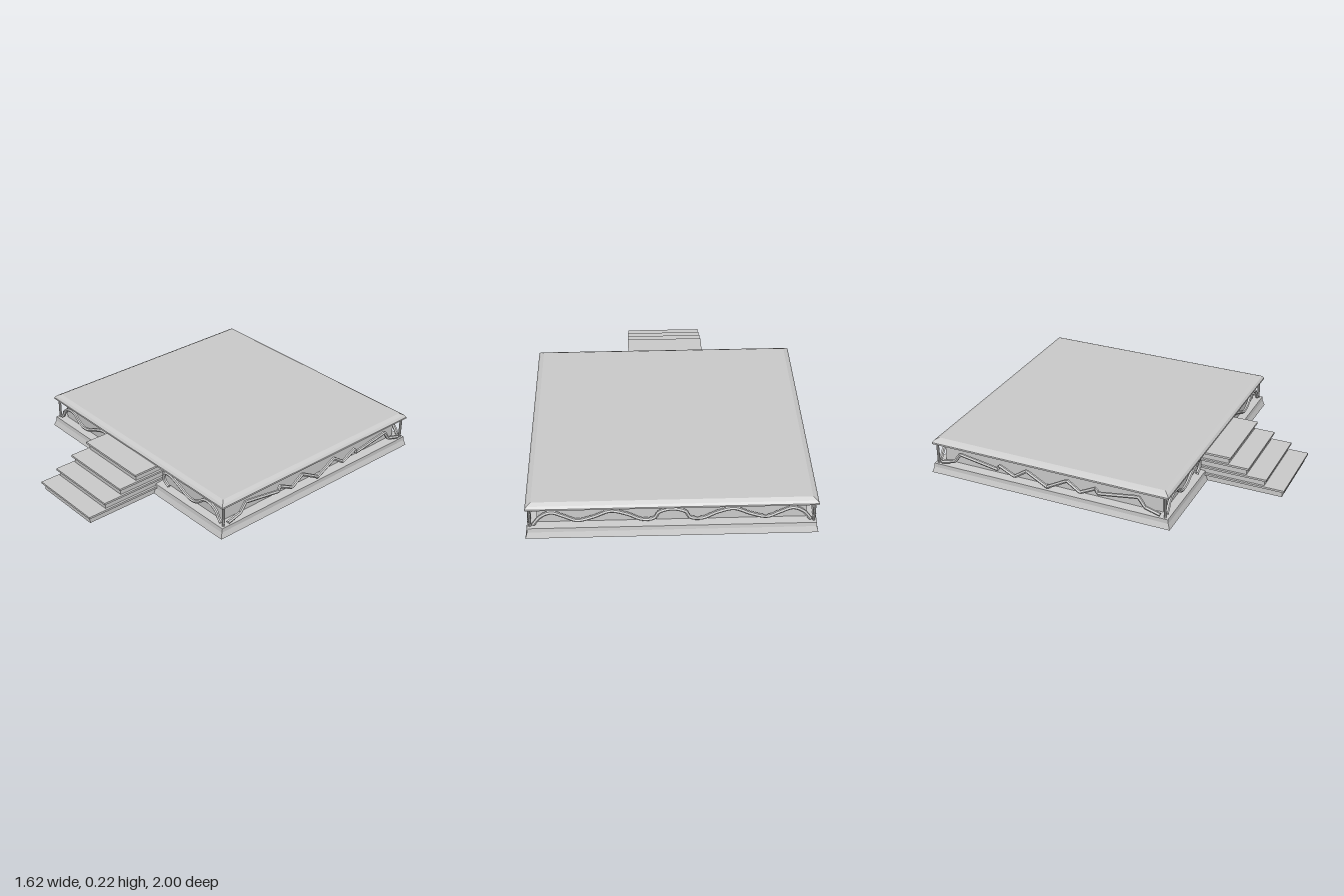
import * as THREE from 'three';

const CZ = -0.235; // centre of the platform in z
const material = new THREE.MeshStandardMaterial({ color: 0xcccccc, side: THREE.DoubleSide, flatShading: true });

function addMesh(parent, name, geometry, x = 0, y = 0, z = 0) {
  const mesh = new THREE.Mesh(geometry, material);
  mesh.name = name;
  mesh.position.set(x, y, z);
  parent.add(mesh);
  return mesh;
}

// Rectangular shell lofted through [half width, half depth, height] rings
function ringShell(rings, cap) {
  const pos = [];
  const corners = rings.map(([w, d, y]) => [[w, y, d], [w, y, -d], [-w, y, -d], [-w, y, d]]);
  const quad = (a, b, c, d) => pos.push(...a, ...b, ...c, ...a, ...c, ...d);
  for (let i = 0; i + 1 < corners.length; i++) {
    for (let k = 0; k < 4; k++) {
      const n = (k + 1) % 4;
      quad(corners[i][k], corners[i][n], corners[i + 1][n], corners[i + 1][k]);
    }
  }
  if (cap) quad(...corners[corners.length - 1]);
  const g = new THREE.BufferGeometry();
  g.setAttribute('position', new THREE.Float32BufferAttribute(pos, 3));
  g.computeVertexNormals();
  return g;
}

// Thin ornamental rail following [along, height] points
function railGeometry(points, tension, segments) {
  const pts = points.map(([u, y]) => new THREE.Vector3(u, y, 0));
  const curve = new THREE.CatmullRomCurve3(pts, false, 'catmullrom', tension);
  return new THREE.TubeGeometry(curve, segments, 0.011, 6, false);
}

const mirrored = (half) => [...half, ...half.slice(0, -1).reverse().map(([u, y]) => [-u, y])];

export function createModel() {
  const model = new THREE.Group();
  model.name = 'steppedPlatform';

  const platform = new THREE.Group();
  platform.name = 'platform';
  platform.position.z = CZ;
  model.add(platform);

  // Flared plinth, hollow below, with a ledge running in to the wall
  addMesh(platform, 'plinth', ringShell([
    [0.81, 0.765, 0], [0.80, 0.753, 0.035], [0.80, 0.75, 0.06], [0.745, 0.70, 0.065],
  ], false));
  // Recessed wall, closed by a ceiling
  addMesh(platform, 'wall', ringShell([[0.745, 0.70, 0.065], [0.745, 0.70, 0.183]], true));
  // Deck slab with a bevelled rim
  addMesh(platform, 'deck', ringShell([
    [0.745, 0.70, 0.183], [0.79, 0.742, 0.183], [0.79, 0.742, 0.19], [0.803, 0.753, 0.19],
    [0.803, 0.753, 0.20], [0.793, 0.743, 0.214], [0.77, 0.72, 0.225],
  ], true));

  // Corner posts
  for (const sx of [-1, 1]) {
    for (const sz of [-1, 1]) {
      addMesh(platform, 'cornerPost', new THREE.CylinderGeometry(0.008, 0.008, 0.125, 8), sx * 0.783, 0.122, sz * 0.728);
    }
  }

  // Front scrolls, one each side of the stairs
  const scroll = [
    [0.31, 0.08], [0.275, 0.10], [0.268, 0.135], [0.285, 0.158], [0.33, 0.16], [0.41, 0.13], [0.47, 0.102],
    [0.53, 0.095], [0.58, 0.118], [0.62, 0.15], [0.67, 0.155], [0.72, 0.13], [0.745, 0.09], [0.765, 0.072],
  ];
  for (const s of [-1, 1]) {
    addMesh(platform, 'frontScroll', railGeometry(scroll.map(([u, y]) => [s * u, y]), 0.5, 70), 0, 0, 0.727);
  }

  // Back rail: matching waves joined by a central arch
  const backHalf = [
    [-0.765, 0.072], [-0.72, 0.13], [-0.66, 0.155], [-0.59, 0.125], [-0.52, 0.095], [-0.43, 0.12], [-0.34, 0.158],
    [-0.25, 0.135], [-0.17, 0.095], [-0.10, 0.10], [-0.07, 0.145], [0, 0.165],
  ];
  addMesh(platform, 'backScroll', railGeometry(mirrored(backHalf), 0.5, 130), 0, 0, -0.727);

  // Zigzag rails on both sides
  const sideHalf = [
    [-0.70, 0.075], [-0.61, 0.10], [-0.57, 0.155], [-0.32, 0.115], [-0.31, 0.145],
    [-0.21, 0.095], [-0.13, 0.15], [0, 0.078],
  ];
  for (const s of [-1, 1]) {
    const rail = addMesh(platform, 'sideZigzag', railGeometry(mirrored(sideHalf), 0.02, 140), s * 0.79, 0, 0);
    rail.rotation.y = s * Math.PI / 2;
  }

  // Hollow stairs: side panels, riser and overhanging tread for every step
  const stairs = new THREE.Group();
  stairs.name = 'stairs';
  stairs.position.x = -0.008;
  model.add(stairs);
  const fronts = [1.0, 0.892, 0.782, 0.672];
  const tops = [0.05, 0.097, 0.145, 0.192];
  const back = 0.455, tread = 0.012, panel = 0.004;
  fronts.forEach((front, i) => {
    const bottom = i ? tops[i - 1] - tread : 0;
    const h = tops[i] - tread - bottom;
    const y = bottom + h / 2;
    const riserZ = front - 0.014;
    const next = i < 3 ? fronts[i + 1] - 0.02 : back;
    addMesh(stairs, 'riser', new THREE.BoxGeometry(0.448, h, panel), 0, y, riserZ - panel / 2);
    addMesh(stairs, 'tread', new THREE.BoxGeometry(0.476, tread, front - next), 0, tops[i] - tread / 2, (front + next) / 2);
    for (const s of [-1, 1]) {
      addMesh(stairs, 'sidePanel', new THREE.BoxGeometry(panel, h, riserZ - back), s * 0.222, y, (riserZ + back) / 2);
      // Tread edge moulding carried back to the wall
      addMesh(stairs, 'treadEdge', new THREE.BoxGeometry(0.018, tread, front - back), s * 0.229, tops[i] - tread / 2, (front + back) / 2);
    }
  });

  return model;
}
